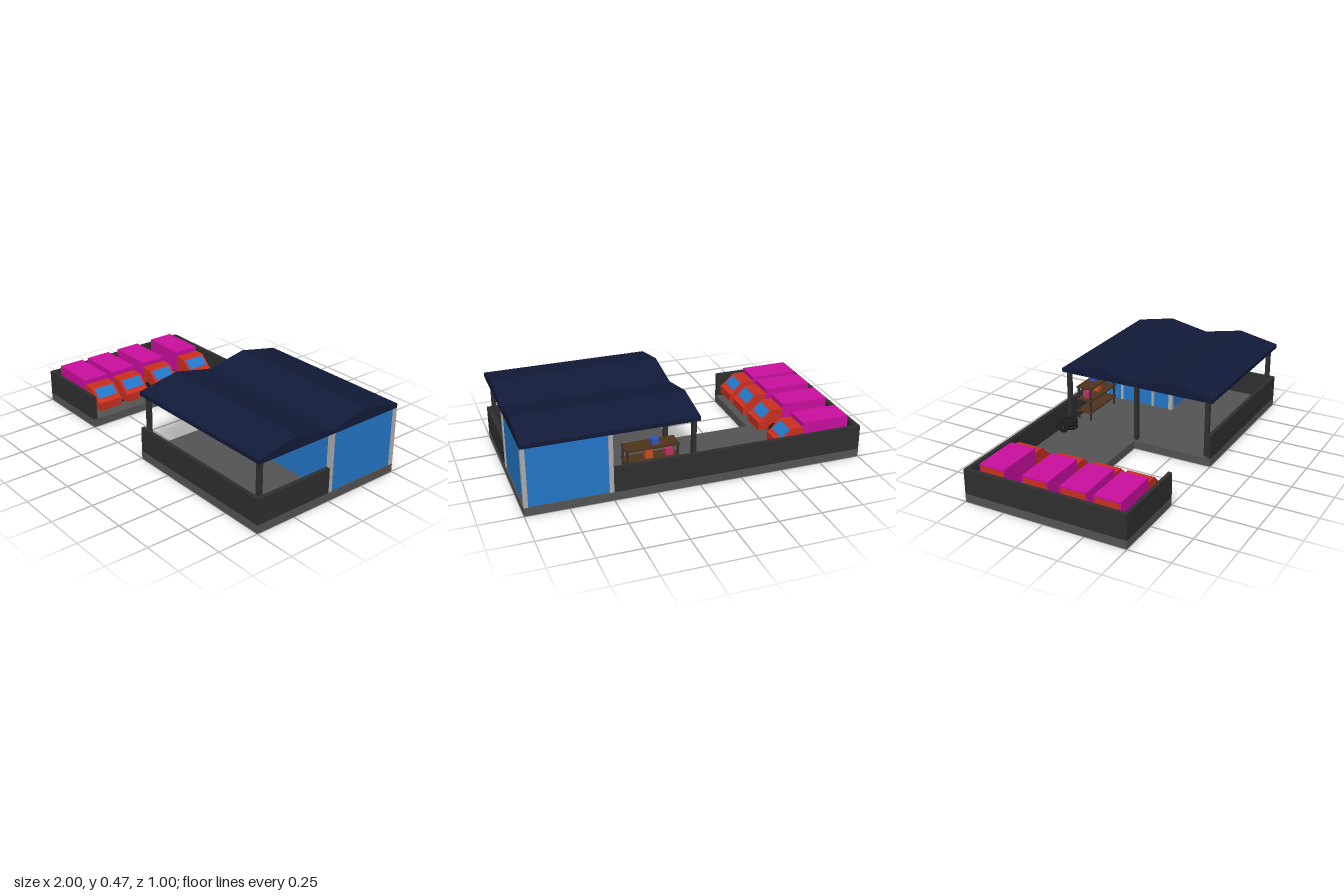
import * as THREE from 'three';

const mat = (color, side = THREE.FrontSide) =>
  new THREE.MeshStandardMaterial({ color, side, flatShading: true });
const M = {
  base: mat(0x555555), dark: mat(0x303030), frame: mat(0xb0b0b0), blue: mat(0x2479cc),
  roof: mat(0x121b3a), cargo: mat(0xcc0fa0), red: mat(0xcc3020), wood: mat(0x4f341c),
  tyre: mat(0x1c1c1c), toolBlue: mat(0x3355bb), toolPink: mat(0xc03068), toolOrange: mat(0xc85020),
};

// Box given by its minimum and maximum corners
function box(parent, name, m, x0, x1, y0, y1, z0, z1) {
  const mesh = new THREE.Mesh(new THREE.BoxGeometry(x1 - x0, y1 - y0, z1 - z0), m);
  mesh.position.set((x0 + x1) / 2, (y0 + y1) / 2, (z0 + z1) / 2);
  mesh.name = name;
  parent.add(mesh);
  return mesh;
}

const shapeOf = (pts) => new THREE.Shape(pts.map(([x, y]) => new THREE.Vector2(x, y)));

function extruded(parent, name, m, pts, depth) {
  const geo = new THREE.ExtrudeGeometry(shapeOf(pts), { depth, bevelEnabled: false });
  const mesh = new THREE.Mesh(geo, m);
  mesh.name = name;
  parent.add(mesh);
  return mesh;
}

// Delivery truck facing +x, centred on z = 0
function truck() {
  const g = new THREE.Group();
  g.name = 'truck';
  box(g, 'cargoBox', M.cargo, -0.96, -0.67, 0.1, 0.235, -0.08, 0.08);
  box(g, 'rearDoor', M.red, -0.962, -0.958, 0.11, 0.225, -0.072, 0.072);
  box(g, 'chassis', M.dark, -0.95, -0.54, 0.08, 0.1, -0.06, 0.06);
  const cab = extruded(g, 'cab', M.red, [
    [-0.67, 0.085], [-0.515, 0.085], [-0.515, 0.135], [-0.535, 0.145],
    [-0.6, 0.207], [-0.67, 0.207]], 0.16);
  cab.position.z = -0.08;
  // Windshield lies just proud of the sloped cab front
  const slope = Math.atan2(0.062, 0.065);
  const glass = new THREE.Mesh(new THREE.BoxGeometry(0.068, 0.004, 0.13), M.blue);
  glass.position.set(-0.568, 0.177, 0);
  glass.rotation.z = -slope;
  glass.name = 'windshield';
  g.add(glass);
  for (const x of [-0.905, -0.615])
    for (const s of [-1, 1]) {
      const w = new THREE.Mesh(new THREE.CylinderGeometry(0.035, 0.035, 0.025, 16), M.tyre);
      w.rotation.x = Math.PI / 2;
      w.position.set(x, 0.085, s * 0.073);
      w.name = 'wheel';
      g.add(w);
    }
  return g;
}

function tyre(x, y, z, tilt) {
  const t = new THREE.Mesh(new THREE.TorusGeometry(0.032, 0.013, 10, 24), M.tyre);
  t.rotation.x = tilt;
  t.position.set(x, y, z);
  t.name = 'spareTyre';
  return t;
}

export function createModel() {
  const model = new THREE.Group();
  model.name = 'depot';

  // U-shaped ground slab, outline drawn as (x, -z)
  const slab = extruded(model, 'baseSlab', M.base, [
    [-1, -0.5], [-0.5, -0.5], [-0.5, 0], [0, 0], [0, -0.5], [1, -0.5], [1, 0.5], [-1, 0.5]], 0.05);
  slab.rotation.x = -Math.PI / 2;

  // Low perimeter walls
  const walls = [
    [-1, -0.975, -0.5, 0.5], [-0.975, 0.5, -0.5, -0.478], [-0.975, -0.5, 0.478, 0.5],
    [0, 1, 0.478, 0.5], [0.975, 1, 0, 0.478]];
  for (const [x0, x1, z0, z1] of walls) box(model, 'lowWall', M.dark, x0, x1, 0.05, 0.2, z0, z1);

  // Canopy posts
  for (const [x, z] of [[0.028, 0.462], [0.962, 0.462], [0.028, 0], [0.028, -0.465]])
    box(model, 'canopyPost', M.dark, x - 0.0125, x + 0.0125, 0.05, 0.4, z - 0.0125, z + 0.0125);

  // Double-gabled roof, profile drawn along z and swept along x
  const roof = extruded(model, 'roof', M.roof, [
    [-0.5, 0.4], [0.5, 0.4], [0.5, 0.425], [0.25, 0.475], [0, 0.425], [-0.25, 0.475], [-0.5, 0.425]], 1);
  roof.rotation.y = Math.PI / 2;

  // Glazed office with corner posts
  const office = new THREE.Group();
  office.name = 'office';
  model.add(office);
  for (const x of [0.5, 0.975])
    for (const z of [-0.5, -0.025])
      box(office, 'cornerPost', M.frame, x, x + 0.025, 0.05, 0.4, z, z + 0.025);
  for (const x of [0.5125, 0.9875])
    box(office, 'sidePanel', M.blue, x - 0.005, x + 0.005, 0.05, 0.4, -0.475, -0.025);
  for (const z of [-0.4875, -0.0125])
    box(office, 'endPanel', M.blue, 0.525, 0.975, 0.05, 0.4, z - 0.005, z + 0.005);
  // Door frame on the inner side
  for (const z of [-0.37, -0.145]) box(office, 'doorJamb', M.frame, 0.498, 0.512, 0.05, 0.21, z, z + 0.015);
  box(office, 'doorLintel', M.frame, 0.498, 0.512, 0.195, 0.21, -0.37, -0.13);

  // Workbench with two shelves and stored boxes
  const bench = new THREE.Group();
  bench.name = 'workbench';
  model.add(bench);
  for (const x of [0.115, 0.405])
    for (const z of [-0.465, -0.38])
      box(bench, 'benchLeg', M.dark, x, x + 0.01, 0.05, 0.27, z, z + 0.01);
  for (const y of [0.1, 0.178, 0.258])
    box(bench, 'shelf', M.wood, 0.11, 0.42, y, y + 0.01, -0.47, -0.365);
  box(bench, 'blueBox', M.toolBlue, 0.22, 0.262, 0.268, 0.3, -0.44, -0.4);
  box(bench, 'pinkBox', M.toolPink, 0.138, 0.182, 0.188, 0.228, -0.44, -0.4);
  box(bench, 'orangeBox', M.toolOrange, 0.258, 0.3, 0.188, 0.24, -0.44, -0.4);

  // Parked trucks
  for (const z of [-0.34, -0.068, 0.164, 0.366]) {
    const t = truck();
    t.position.z = z;
    model.add(t);
  }

  // Tyre stack and one tyre leaning on the wall
  for (const y of [0.062, 0.084, 0.106]) model.add(tyre(-0.028, y, -0.432, Math.PI / 2));
  model.add(tyre(-0.116, 0.1, -0.435, -0.7));

  return model;
}
